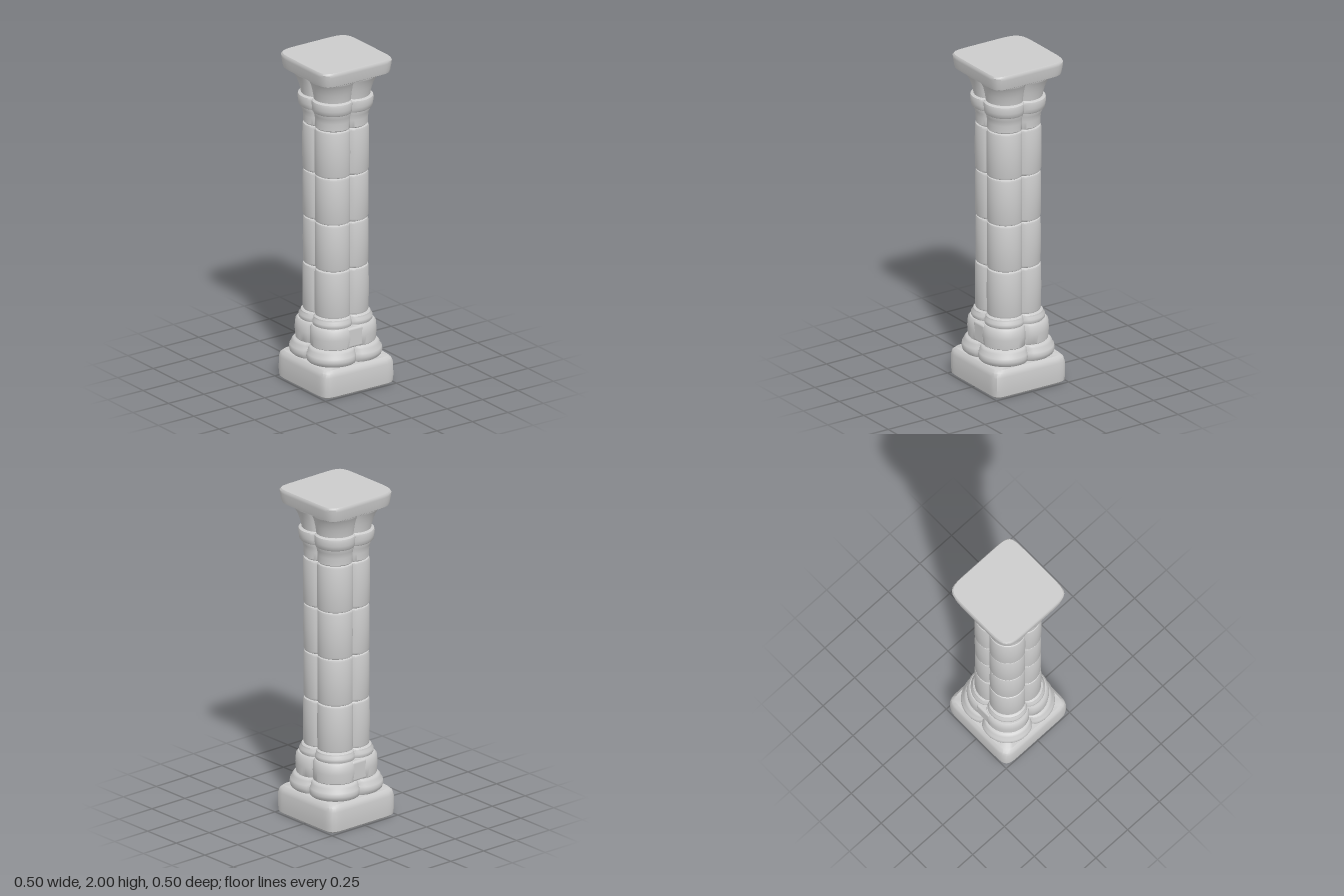
import * as THREE from 'three';
import { toCreasedNormals } from 'three/addons/utils/BufferGeometryUtils.js';
import { RoundedBoxGeometry } from 'three/addons/geometries/RoundedBoxGeometry.js';

const SEGMENTS = 96;
const stone = new THREE.MeshStandardMaterial({ color: 0xcccccc });

// Plan of four joined shafts: a lobe on each diagonal, a groove on each axis
const lobed = (a) => 0.856 + 0.287 * Math.pow(Math.abs(Math.sin(2 * a)), 0.7);

// Plan of a worn square slab; a higher power gives sharper corners
const square = (power) => (a) => {
  const worn = power + 1.5 * Math.sin(a + 0.6);
  return Math.pow(Math.abs(Math.cos(a)) ** worn + Math.abs(Math.sin(a)) ** worn, -1 / worn);
};

// Stacks scaled copies of a plan: profile is [half width, height], closed at both ends
function loft(profile, plan) {
  const rings = [[0, profile[0][1]], ...profile, [0, profile[profile.length - 1][1]]];
  const positions = [];
  const index = [];
  const row = SEGMENTS + 1;
  rings.forEach(([size, y], r) => {
    for (let i = 0; i <= SEGMENTS; i++) {
      const a = ((i % SEGMENTS) / SEGMENTS) * Math.PI * 2;
      const d = size * plan(a);
      positions.push(d * Math.cos(a), y, d * Math.sin(a));
      if (r > 0 && i < SEGMENTS) {
        const p = (r - 1) * row + i;
        const q = p + row;
        if (r > 1) index.push(p, q, p + 1);
        if (r === 1) index.push(p, q, q + 1);
        else if (r < rings.length - 1) index.push(p + 1, q, q + 1);
      }
    }
  });
  const geometry = new THREE.BufferGeometry();
  geometry.setAttribute('position', new THREE.Float32BufferAttribute(positions, 3));
  geometry.setIndex(index);
  return toCreasedNormals(geometry, 0.7);
}

export function createModel() {
  const group = new THREE.Group();
  const add = (name, geometry) => {
    const mesh = new THREE.Mesh(geometry, stone);
    mesh.name = name;
    group.add(mesh);
    return mesh;
  };

  // Square foot
  add('plinth', loft([
    [0.235, 0], [0.247, 0.012], [0.25, 0.05], [0.249, 0.13], [0.243, 0.155], [0.228, 0.17],
  ], square(12)));

  // Stepped mouldings of the base
  add('baseMoulding', loft([
    [0.215, 0.165], [0.231, 0.18], [0.236, 0.2], [0.233, 0.222], [0.224, 0.232],
    [0.222, 0.247], [0.212, 0.26], [0.19, 0.266],
  ], lobed));
  add('baseBand', loft([
    [0.193, 0.258], [0.203, 0.268], [0.207, 0.325], [0.203, 0.376], [0.193, 0.388],
  ], lobed));
  add('baseNeck', loft([
    [0.18, 0.383], [0.187, 0.395], [0.187, 0.412], [0.178, 0.425], [0.176, 0.436], [0.165, 0.444],
  ], lobed));

  // Small filler blocks set into the grooves at front and back
  for (const side of [1, -1]) {
    const block = add('baseBlock', new RoundedBoxGeometry(0.11, 0.122, 0.09, 3, 0.014));
    block.position.set(-0.003, 0.325, side * 0.158);
  }

  // Four equal drums with softened edges, each very slightly different in width
  const drumHeight = 0.2875;
  [0.167, 0.165, 0.166, 0.168].forEach((w, i) => {
    const y0 = 0.44 + i * drumHeight;
    const y1 = y0 + drumHeight;
    add('shaftDrum', loft([
      [w - 0.011, y0], [w - 0.003, y0 + 0.005], [w, y0 + 0.016], [w + 0.001, (y0 + y1) / 2],
      [w, y1 - 0.016], [w - 0.003, y1 - 0.005], [w - 0.011, y1],
    ], lobed));
  });

  // Capital: neck, projecting collar and flaring bell
  add('capitalNeck', loft([
    [0.154, 1.588], [0.164, 1.597], [0.165, 1.64], [0.169, 1.67], [0.178, 1.69], [0.178, 1.705],
  ], lobed));
  add('capitalCollar', loft([
    [0.177, 1.692], [0.187, 1.703], [0.19, 1.725], [0.193, 1.752], [0.19, 1.765], [0.176, 1.773],
  ], lobed));
  add('capitalBell', loft([
    [0.174, 1.765], [0.178, 1.79], [0.186, 1.825], [0.197, 1.86], [0.212, 1.89],
    [0.218, 1.9], [0.218, 1.92],
  ], lobed));

  // Square top slab
  add('abacus', loft([
    [0.228, 1.908], [0.238, 1.914], [0.242, 1.93], [0.248, 1.975], [0.249, 1.99], [0.243, 2],
  ], square(8)));

  return group;
}
